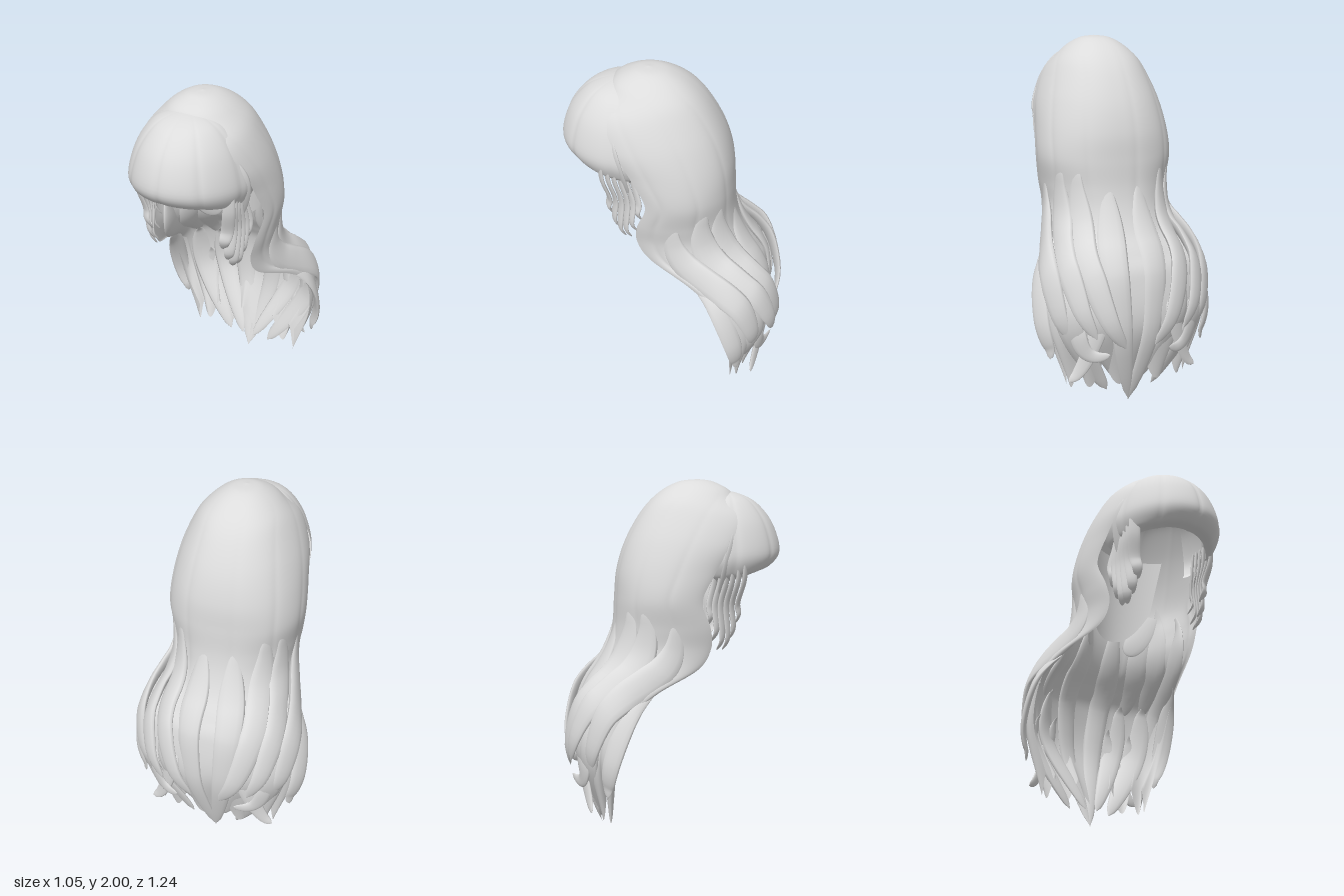
import * as THREE from 'three';

const hairMat = new THREE.MeshStandardMaterial({ color: 0xdcdcdc, side: THREE.DoubleSide });
hairMat.name = 'pale grey hair';

// Smooth grid surface from fn(u, v) -> [x, y, z]
function surface(nu, nv, fn) {
  const pos = [], idx = [];
  for (let j = 0; j <= nv; j++) for (let i = 0; i <= nu; i++) pos.push(...fn(i / nu, j / nv));
  for (let j = 0; j < nv; j++) for (let i = 0; i < nu; i++) {
    const a = j * (nu + 1) + i, b = a + nu + 1;
    idx.push(a, a + 1, b, a + 1, b + 1, b);
  }
  const g = new THREE.BufferGeometry();
  g.setAttribute('position', new THREE.Float32BufferAttribute(pos, 3));
  g.setIndex(idx);
  g.computeVertexNormals();
  return g;
}

// Smoothly interpolates rows of numbers, evenly spaced so all columns stay in step
function profile(rows) {
  const curve = f => new THREE.CatmullRomCurve3(rows.map(f), false, 'catmullrom', 0.5);
  const a = curve(r => new THREE.Vector3(r[0], r[1], r[2]));
  const b = curve(r => new THREE.Vector3(r[3], r[4] || 0, 0));
  return t => { const p = a.getPoint(t), q = b.getPoint(t); return [p.x, p.y, p.z, q.x, q.y]; };
}

// Horizontal direction away from the middle of the head
const outward = p => new THREE.Vector3(p.x * 0.9, 0, p.z + 0.05).normalize();

// Tapered lens-shaped lock along a path, lying flat against the head
function lock(points, width, thick, root) {
  const curve = new THREE.CatmullRomCurve3(points);
  const n = 36, frames = [];
  for (let i = 0; i <= n; i++) {
    const t = i / n, p = curve.getPoint(t), tan = curve.getTangent(t);
    const side = new THREE.Vector3().crossVectors(tan, outward(p)).normalize();
    if (i && side.dot(frames[i - 1].side) < 0) side.negate();
    if (i) side.lerp(frames[i - 1].side, 0.5).normalize();
    const nrm = new THREE.Vector3().crossVectors(side, tan).normalize();
    const k = (root + (1 - root) * Math.sin(Math.min(1, t / 0.5) * Math.PI / 2)) * Math.sqrt(1 - t ** 4);
    frames.push({ p, side, nrm, k });
  }
  return surface(12, n, (u, v) => {
    const f = frames[Math.round(v * n)], a = u * Math.PI * 2;
    return f.p.clone().addScaledVector(f.side, Math.cos(a) * width * f.k)
      .addScaledVector(f.nrm, Math.sin(a) * thick * f.k).toArray();
  });
}

// Back mantle levels: height, half width, front edge z, back z, wrap angle
const mantleLevel = profile([
  [2.0, 0, 0.15, 0.15, 180], [1.985, 0.09, 0.24, 0.04, 180], [1.925, 0.185, 0.34, -0.07, 178],
  [1.82, 0.275, 0.36, -0.17, 130], [1.66, 0.345, 0.29, -0.26, 115], [1.5, 0.375, 0.2, -0.31, 115],
  [1.35, 0.385, 0.13, -0.325, 112], [1.2, 0.365, 0.18, -0.335, 115], [1.08, 0.35, 0.185, -0.36, 118],
  [0.97, 0.37, 0.11, -0.405, 118], [0.86, 0.44, -0.12, -0.475, 110], [0.74, 0.475, -0.26, -0.53, 105],
  [0.48, 0.46, -0.34, -0.55, 102], [0.18, 0.35, -0.36, -0.45, 100],
]);

// Point on the mantle: k runs from -1 to 1 around the back, v from crown to hem
function mantlePoint(k, v) {
  const [y, w, zf, zb, deg] = mantleLevel(v);
  const A = deg * Math.PI / 180, s = Math.sin(k * A), c = Math.cos(A);
  const zc = (zf - c * zb) / (1 - c);
  const strand = Math.abs(Math.sin(k * 10 + 0.8));
  const groove = 1 - 0.025 * v * (1 - strand) ** 3;
  return [w * Math.sign(s) * Math.abs(s) ** 0.85 * groove,
    y - v ** 12 * 0.16 * (strand - 0.6), zc - (zc - zb) * Math.cos(k * A) * groove];
}

// Path that follows the mantle from (k0, v0) to (k1, v1), then flicks its tip away
function mantlePath(k0, k1, v0, v1, dx, dy, dz) {
  return Array.from({ length: 13 }, (_, i) => {
    const t = i / 12, { lerp } = THREE.MathUtils;
    const p = new THREE.Vector3(...mantlePoint(lerp(k0, k1, t * t), lerp(v0, v1, t)));
    p.addScaledVector(outward(p), -0.025 + 0.05 * Math.sqrt(t));
    return p.addScaledVector(new THREE.Vector3(dx, 0, dz), t ** 4).setY(p.y + dy * t ** 6);
  });
}

export function createModel() {
  const group = new THREE.Group();
  const add = (name, geo) => {
    const m = new THREE.Mesh(geo, hairMat);
    m.name = name;
    group.add(m);
  };
  const mirrored = (name, pts, w, t, root) => {
    for (const s of [1, -1])
      add(name + (s > 0 ? 'Left' : 'Right'), lock(pts.map(p => new THREE.Vector3(p.x * s, p.y, p.z)), w, t, root));
  };
  const V = (x, y, z) => new THREE.Vector3(x, y, z);

  add('backMantle', surface(120, 100, (u, v) => mantlePoint(u * 2 - 1, v)));

  // Fringe fanning forward from the whorl: height, front z, half width, centre z
  const fringe = profile([
    [1.945, 0.28, 0, 0.28], [1.915, 0.4, 0.13, 0.29], [1.86, 0.495, 0.215, 0.27], [1.75, 0.58, 0.29, 0.25],
    [1.6, 0.622, 0.335, 0.24], [1.515, 0.57, 0.315, 0.24], [1.49, 0.5, 0.28, 0.24],
  ]);
  add('fringe', surface(96, 36, (u, v) => {
    const [y, zf, w, zc] = fringe(v), k = u * 2 - 1, a = k * 1.95;
    const g = 1 - 0.02 * (1 - Math.abs(Math.sin(k * 9))) ** 4;
    return [w * Math.sin(a) * g, y - v ** 4 * 0.04 * Math.sin(a) ** 2 + v ** 4 * 0.02 * Math.cos(a),
      zc + (zf - zc) * Math.cos(a) * g];
  }));

  // Inner nape layer with a rounded lower end, and a small lock on each side
  add('innerNapeLayer', surface(24, 16, (u, v) => {
    const k = u * 2 - 1;
    return [k * (0.27 - 0.05 * v), 1.65 - v * (0.55 - 0.2 * Math.abs(k) ** 2.5), -0.19 + 0.12 * k * k - 0.06 * v];
  }));
  mirrored('napeLock', [V(0.22, 1.28, -0.14), V(0.18, 1.15, -0.19), V(0.13, 1.04, -0.25)], 0.08, 0.01, 0.8);

  // Wispy locks in front of the ears, curving inward at the tip
  for (let i = 0; i < 6; i++) {
    const z = 0.38 - i * 0.033, drop = 0.14 * Math.sin(i * Math.PI / 5);
    mirrored('earWisp' + (i + 1), [V(0.285, 1.58, z), V(0.28, 1.45, z - 0.01), V(0.255 + i * 0.008, 1.32, z - 0.04),
      V(0.245 + i * 0.01, 1.26 - drop, z - 0.03), V(0.225 + i * 0.01, 1.2 - drop, z - 0.055)],
      0.036 - i * 0.002, 0.01, 0.8);
  }
  mirrored('templeLock', [V(0.21, 1.8, 0.35), V(0.305, 1.6, 0.29), V(0.27, 1.36, 0.23)], 0.05, 0.012, 0.2);

  // Long overlapping locks and curled ends, mirrored: width, then path along the mantle
  const locks = {
    sideLock: [0.085, 0.72, 0.6, 0.5, 0.95, -0.04, 0.03, -0.02],
    outerBackLock: [0.085, 0.5, 0.48, 0.45, 0.95, -0.1, 0.08, -0.1],
    innerBackLock: [0.085, 0.34, 0.3, 0.45, 0.97, -0.15, 0.08, -0.09],
    centreLock: [0.08, 0.1, 0.15, 0.5, 1, -0.12, -0.16, 0.06],
    frontSideLock: [0.06, 0.95, 0.85, 0.77, 1, 0.09, 0.04, 0],
    lowerLock: [0.08, 0.5, 0.5, 0.82, 1, -0.16, -0.12, 0.02],
    lowerInnerLock: [0.07, 0.28, 0.25, 0.82, 1, -0.14, -0.16, 0.06],
    outerCurl: [0.05, 0.4, 0.48, 0.88, 0.98, -0.14, 0.1, -0.12],
    innerCurl: [0.05, 0.2, 0.42, 0.88, 0.99, 0.1, 0.02, -0.02],
  };
  for (const [name, [width, ...path]] of Object.entries(locks))
    mirrored(name, mantlePath(...path), width, width * 0.3, 0.1);

  return group;
}
